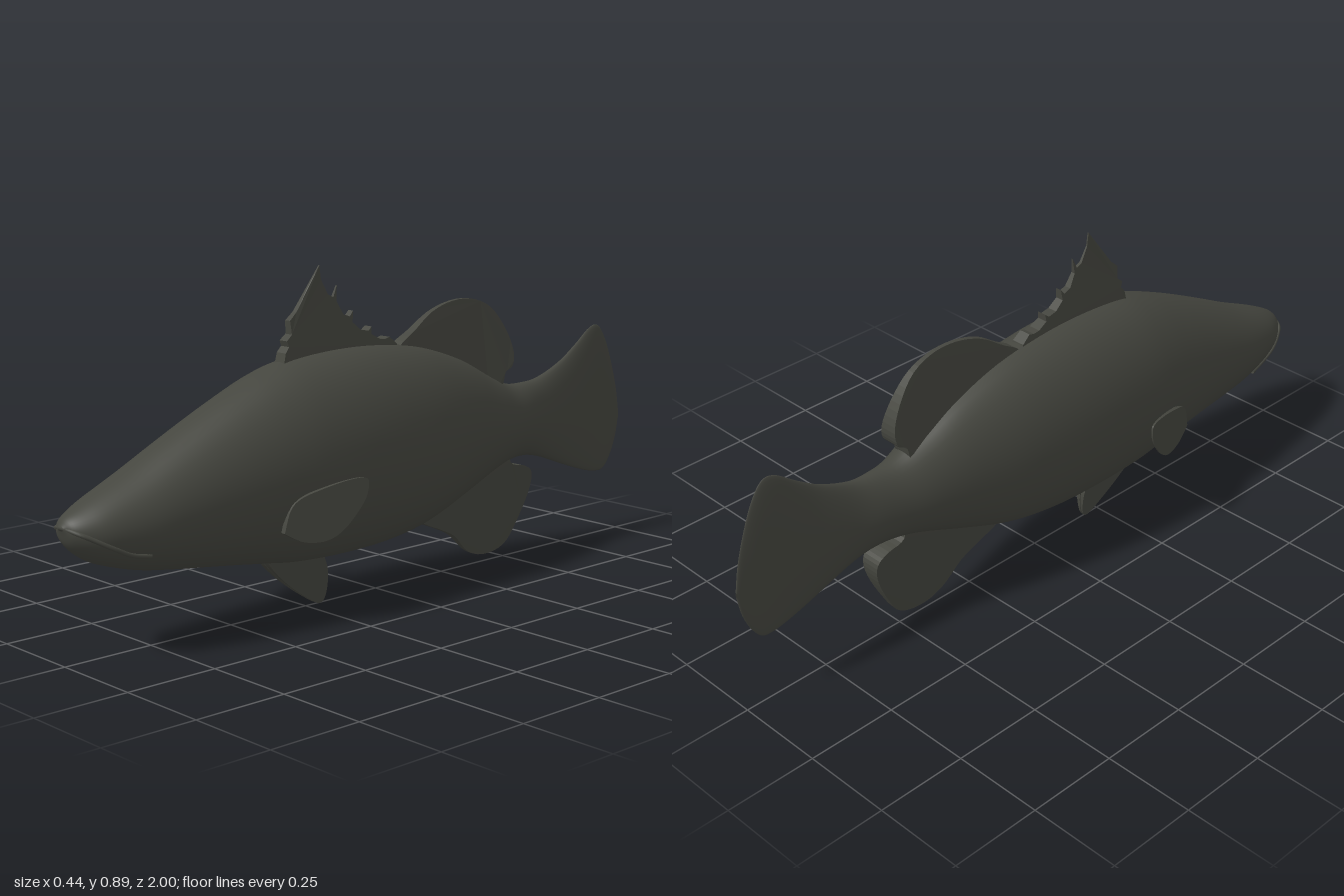
import * as THREE from 'three';

const skin = new THREE.MeshStandardMaterial({ color: 0x45463f, side: THREE.DoubleSide });
skin.name = 'dark olive skin';

// Body stations from snout to tail edge: z, top y, bottom y, half width
const stations = [
  [1, 0.35, 0.338, 0.012], [0.985, 0.368, 0.3, 0.042], [0.95, 0.388, 0.266, 0.07], [0.9, 0.412, 0.24, 0.092],
  [0.8, 0.457, 0.21, 0.116], [0.7, 0.507, 0.193, 0.13], [0.6, 0.556, 0.18, 0.142], [0.5, 0.602, 0.167, 0.154],
  [0.4, 0.642, 0.153, 0.165], [0.3, 0.668, 0.14, 0.172], [0.15, 0.68, 0.134, 0.173], [0, 0.676, 0.14, 0.165],
  [-0.15, 0.654, 0.165, 0.148], [-0.3, 0.605, 0.218, 0.118], [-0.42, 0.545, 0.265, 0.09], [-0.5, 0.511, 0.288, 0.068],
  [-0.57, 0.506, 0.294, 0.052], [-0.64, 0.514, 0.282, 0.037], [-0.73, 0.549, 0.25, 0.027], [-0.8, 0.593, 0.225, 0.021],
  [-0.86, 0.636, 0.207, 0.016], [-0.9, 0.638, 0.2, 0.012], [-0.935, 0.59, 0.204, 0.009], [-0.965, 0.515, 0.24, 0.006],
  [-0.988, 0.437, 0.293, 0.004], [-1, 0.368, 0.352, 0.002],
];
const spline = (pts) => new THREE.CatmullRomCurve3(pts, false, 'catmullrom', 0.5);
const heights = spline(stations.map(([z, top, bottom]) => new THREE.Vector3(z, top, bottom)));
const widths = spline(stations.map(([z, , , w]) => new THREE.Vector3(z, w, 0)));

function bodyGeometry(rings = 125, sides = 40) {
  const pos = [], index = [];
  for (let i = 0; i <= rings; i++) {
    const { x: z, y: top, z: bottom } = heights.getPoint(i / rings);
    const w = widths.getPoint(i / rings).y;
    for (let j = 0; j < sides; j++) {
      const a = (j / sides) * Math.PI * 2;
      pos.push(w * Math.sin(a), (top + bottom) / 2 + ((top - bottom) / 2) * Math.cos(a), z);
      if (i === rings) continue;
      const p = i * sides + j, q = i * sides + ((j + 1) % sides);
      index.push(p, q, p + sides, q, q + sides, p + sides);
    }
  }
  const g = new THREE.BufferGeometry();
  g.setAttribute('position', new THREE.Float32BufferAttribute(pos, 3));
  g.setIndex(index);
  g.computeVertexNormals();
  return g;
}

// Fin from a [z, y] outline; thickness and sideways offset follow rules of y and z
function finGeometry(outline, round, thickness, offset = () => 0) {
  let pts = outline.map(([z, y]) => new THREE.Vector2(z, y));
  if (round) pts = new THREE.SplineCurve(pts).getPoints(48);
  const g = new THREE.ExtrudeGeometry(new THREE.Shape(pts), { depth: 1, bevelEnabled: false });
  g.translate(0, 0, -0.5);
  g.rotateY(-Math.PI / 2);
  const p = g.attributes.position;
  for (let i = 0; i < p.count; i++) {
    const y = p.getY(i), z = p.getZ(i);
    p.setX(i, p.getX(i) * thickness(y, z) + offset(y, z));
  }
  g.computeVertexNormals();
  return g;
}

const taper = (y0, t0, y1, t1) => (y) => THREE.MathUtils.mapLinear(THREE.MathUtils.clamp(y, Math.min(y0, y1), Math.max(y0, y1)), y0, y1, t0, t1);

// Point on the body's side at a given z and y
function onSkin(z, y, side) {
  let t = 0;
  while (t < 1 && heights.getPoint(t).x > z) t += 0.001;
  const h = heights.getPoint(t), c = (h.y + h.z) / 2, r = (h.y - h.z) / 2;
  return new THREE.Vector3(side * widths.getPoint(t).y * Math.sqrt(Math.max(0, 1 - ((y - c) / r) ** 2)), y, z);
}

export function createModel() {
  const group = new THREE.Group();
  group.name = 'fish';
  const add = (name, geometry) => {
    const mesh = new THREE.Mesh(geometry, skin);
    mesh.name = name;
    group.add(mesh);
  };

  add('bodyAndTail', bodyGeometry());

  // Lip running round the mouth from one cheek to the other
  const mouth = [[0.81, 0.262], [0.86, 0.272], [0.91, 0.296], [0.95, 0.318], [0.98, 0.335]];
  const lip = [
    ...mouth.map(([z, y]) => onSkin(z, y, -1)),
    new THREE.Vector3(0, 0.344, 0.994),
    ...mouth.slice().reverse().map(([z, y]) => onSkin(z, y, 1)),
  ];
  add('lip', new THREE.TubeGeometry(new THREE.CatmullRomCurve3(lip), 60, 0.006, 8));

  // Spiny front dorsal fin with scalloped membrane between the spines
  add('spinyDorsalFin', finGeometry([
    [0.34, 0.62], [0.325, 0.685], [0.312, 0.7], [0.318, 0.715], [0.3, 0.73], [0.303, 0.765], [0.28, 0.785],
    [0.24, 0.84], [0.197, 0.897], [0.192, 0.86], [0.17, 0.82], [0.152, 0.812], [0.138, 0.842], [0.142, 0.8],
    [0.122, 0.765], [0.1, 0.758], [0.088, 0.772], [0.092, 0.742], [0.065, 0.72], [0.038, 0.715], [0.026, 0.725],
    [0.028, 0.705], [0, 0.69], [-0.02, 0.688], [-0.035, 0.692], [-0.06, 0.672], [-0.08, 0.6],
  ], false, taper(0.66, 0.04, 0.84, 0.004)));

  add('softDorsalFin', finGeometry([
    [-0.05, 0.6], [-0.07, 0.66], [-0.13, 0.698], [-0.2, 0.742], [-0.28, 0.765], [-0.36, 0.764], [-0.43, 0.735],
    [-0.48, 0.675], [-0.508, 0.61], [-0.502, 0.565], [-0.475, 0.55], [-0.465, 0.52], [-0.44, 0.47], [-0.25, 0.5],
  ], true, taper(0.58, 0.055, 0.765, 0.012)));

  add('analFin', finGeometry([
    [-0.1, 0.22], [-0.16, 0.166], [-0.23, 0.135], [-0.29, 0.105], [-0.35, 0.05], [-0.42, 0.03], [-0.5, 0.048],
    [-0.55, 0.12], [-0.585, 0.2], [-0.585, 0.25], [-0.55, 0.272], [-0.5, 0.285], [-0.46, 0.34], [-0.25, 0.32],
  ], true, taper(0.26, 0.06, 0.04, 0.01)));

  for (const [side, label] of [[1, 'left'], [-1, 'right']]) {
    // Pelvic fins close together under the belly
    add(label + 'PelvicFin', finGeometry([
      [0.41, 0.18], [0.38, 0.138], [0.33, 0.09], [0.27, 0.045], [0.21, 0.01], [0.187, 0.025], [0.182, 0.08],
      [0.195, 0.125], [0.23, 0.18], [0.32, 0.2],
    ], true, taper(0.16, 0.02, 0.01, 0.004), (y) => side * taper(0.16, 0.012, 0.01, 0.003)(y)));

    // Pectoral fins flaring out and backwards from the flanks
    add(label + 'PectoralFin', finGeometry([
      [0.45, 0.265], [0.435, 0.32], [0.41, 0.347], [0.36, 0.365], [0.29, 0.382], [0.24, 0.386], [0.228, 0.37],
      [0.24, 0.325], [0.29, 0.262], [0.34, 0.235], [0.4, 0.238], [0.45, 0.265],
    ], true, (y, z) => taper(0.44, 0.014, 0.23, 0.005)(z), (y, z) => side * taper(0.45, 0.148, 0.225, 0.219)(z)));
  }
  return group;
}
